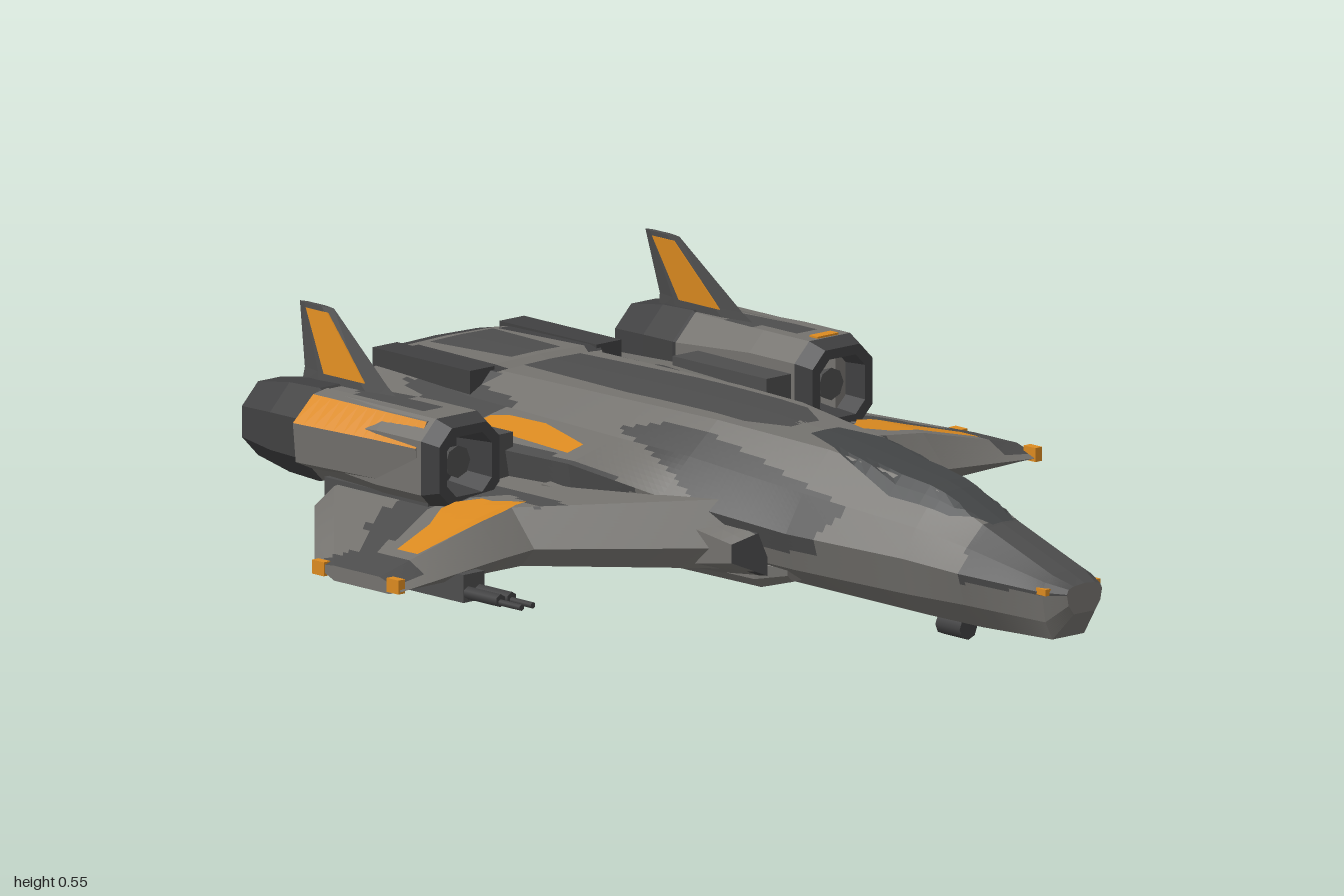
import * as THREE from 'three';

const mat = (name, color) => {
  const m = new THREE.MeshStandardMaterial({ color });
  m.name = name;
  return m;
};

export function createModel() {
  const light = mat('light grey', 0x74726e), dark = mat('dark grey', 0x4d4d4d);
  const metal = mat('engine metal', 0x404041), glass = mat('canopy glass', 0x434546);
  const orange = mat('orange', 0xdb8a20);
  const model = new THREE.Group();
  model.name = 'spacecraft';

  const V = (x, y, z) => new THREE.Vector3(x, y, z);

  // Turns triangles, grouped by material, into a flat-shaded mesh
  function meshFrom(name, tris, flip) {
    const mats = [...new Set(tris.map(t => t[3]))], pos = [];
    const geo = new THREE.BufferGeometry();
    mats.forEach((m, i) => {
      const start = pos.length / 3;
      for (const [a, b, c, k] of tris) {
        if (k === m) for (const p of flip ? [a, c, b] : [a, b, c]) pos.push(p.x, p.y, p.z);
      }
      geo.addGroup(start, pos.length / 3 - start, i);
    });
    geo.setAttribute('position', new THREE.Float32BufferAttribute(pos, 3));
    geo.computeVertexNormals();
    const mesh = new THREE.Mesh(geo, mats);
    mesh.name = name;
    model.add(mesh);
    return mesh;
  }

  // Skins closed rings of points; paint is a material or a rule on face centres
  function loft(name, rings, paint, step = 9, split = 1) {
    const pick = typeof paint === 'function' ? paint : () => paint;
    const fine = rings.map(r => r.flatMap((p, i) =>
      Array.from({ length: split }, (_, k) => p.clone().lerp(r[(i + 1) % r.length], k / split))));
    const rows = [fine[0]];
    for (let i = 1; i < fine.length; i++) {
      const n = Math.max(1, Math.ceil(fine[i][0].distanceTo(fine[i - 1][0]) / step));
      for (let k = 1; k <= n; k++) rows.push(fine[i].map((p, j) => fine[i - 1][j].clone().lerp(p, k / n)));
    }
    const tris = [], n = rows[0].length;
    for (let i = 1; i < rows.length; i++) for (let j = 0; j < n; j++) {
      const a = rows[i - 1][j], b = rows[i - 1][(j + 1) % n], c = rows[i][(j + 1) % n], d = rows[i][j];
      const m = pick(a.clone().add(b).add(c).add(d).multiplyScalar(0.25));
      tris.push([a, b, c, m], [a, c, d, m]);
    }
    [rows[0], rows.at(-1)].forEach((r, end) => {
      const c = r.reduce((s, p) => s.add(p), V(0, 0, 0)).divideScalar(n), m = pick(c);
      r.forEach((p, j) => {
        const q = r[(j + 1) % n];
        tris.push(end ? [c, p, q, m] : [c, q, p, m]);
      });
    });
    // A negative volume means the rings run the other way round
    const volume = tris.reduce((v, [a, b, c]) => v + a.dot(b.clone().cross(c)), 0);
    return meshFrom(name, tris, volume < 0);
  }

  // Lays a thin painted panel over a mesh; rows are [z, x0, x1] from front to back
  const ray = new THREE.Raycaster();
  function panel(name, target, rows, m, s = 1) {
    const grid = [], tris = [], cols = 10;
    for (let k = 0; k <= (rows.length - 1) * 4; k++) {
      const i = Math.min(Math.floor(k / 4), rows.length - 2);
      const [z, x0, x1] = rows[i].map((v, j) => THREE.MathUtils.lerp(v, rows[i + 1][j], k / 4 - i));
      grid.push(Array.from({ length: cols + 1 }, (_, c) => {
        const x = s * (x0 + (x1 - x0) * c / cols);
        ray.set(V(x, 2, z), V(0, -1, 0));
        const hit = ray.intersectObject(target)[0];
        return V(x, (hit ? hit.point.y : 0.2) + 0.004, z);
      }));
    }
    for (let i = 1; i < grid.length; i++) for (let c = 0; c < cols; c++) {
      const [a, b, d, e] = [grid[i - 1][c], grid[i - 1][c + 1], grid[i][c + 1], grid[i][c]];
      tris.push([a, b, d, m], [a, d, e, m]);
    }
    meshFrom(name, tris, s < 0);
  }

  // Camouflage: dark patches outlined in x (mirrored) and z, painted above a height
  const nosePatch = [[0, 1.1], [.2, 1.1], [.2, .78], [.09, .74], [0, .74]];
  const cheekPatch = [[.14, .42], [.25, .3], [.26, .1], [.2, -.22], [.15, -.1]];
  const shoulderPatch = [[.3, -.05], [.45, -.1], [.45, -.66], [.36, -.6], [.34, -.2]];
  const rearPatch = [[.2, -.53], [.3, -.55], [.33, -.64], [.23, -.85], [.17, -.75]];
  const wingPatch = [[.44, -.12], [.5, -.15], [.46, -.26], [.6, -.34], [.83, -.29], [.83, -.14],
    [.92, -.14], [.92, -.4], [.82, -.33], [.73, -.42], [.44, -.5]];
  const podPatch = [[.5, -.44], [.55, -.42], [.56, -.6], [.53, -.7], [.48, -.6]];
  const inside = (poly, x, z) => poly.reduce((odd, [ax, az], i) => {
    const [bx, bz] = poly[(i + 1) % poly.length];
    const crosses = (az > z) !== (bz > z) && x < ax + (bx - ax) * (z - az) / (bz - az);
    return crosses ? !odd : odd;
  }, false);
  const camo = (minY, ...patches) => c =>
    c.y > minY && patches.some(p => inside(p, Math.abs(c.x), c.z)) ? dark : light;

  // Cross-section from the corners of one half, listed from top to bottom
  const section = (z, ...half) => [
    V(0, half[0][1] + .003, z), ...half.map(([x, y]) => V(x, y, z)),
    V(0, half.at(-1)[1], z), ...half.reverse().map(([x, y]) => V(-x, y, z)),
  ];

  // Hull: top edge, shoulder, flank, lower flank, bottom edge
  const hull = loft('hull', [
    section(1, [.03, .18], [.045, .175], [.05, .165], [.045, .14], [.03, .12]),
    section(.95, [.045, .198], [.065, .185], [.075, .165], [.065, .1], [.045, .06]),
    section(.75, [.045, .265], [.09, .225], [.13, .18], [.11, .11], [.06, .055]),
    section(.6, [.05, .322], [.11, .25], [.15, .19], [.13, .11], [.08, .06]),
    section(.3, [.08, .362], [.155, .28], [.203, .2], [.18, .12], [.1, .068]),
    section(0, [.12, .381], [.2, .315], [.28, .24], [.26, .15], [.16, .09]),
    section(-.2, [.13, .382], [.22, .325], [.36, .29], [.34, .16], [.18, .09]),
    section(-.66, [.135, .378], [.22, .335], [.42, .3], [.39, .185], [.2, .115]),
    section(-.95, [.17, .368], [.2, .355], [.28, .33], [.26, .21], [.17, .15]),
  ], camo(.16, nosePatch, cheekPatch, shoulderPatch, rearPatch), .015, 9);

  panel('spinePanel', hull, [[.14, -.04, .04], [.05, -.09, .09], [-.3, -.1, .1], [-.64, -.08, .08]], dark);
  panel('canopy', hull, [[.75, -.03, .03], [.66, -.07, .07], [.5, -.095, .095],
    [.34, -.08, .08], [.2, -.04, .04]], glass);
  panel('canopyFrame', hull, [[.2, -.025, .025], [.12, -.025, .025]], light);

  // Belly block and rear engine block
  const slab = (z, w, top, bot, cut) => section(z, [w - cut, top], [w, top - cut], [w, bot + cut], [w - cut, bot]);
  loft('bellyBlock', [slab(.27, .17, .13, .085, .015), slab(.2, .2, .14, .066, .02),
    slab(-.25, .21, .15, .066, .02), slab(-.36, .17, .15, .09, .02)],
    c => c.z < .12 && c.z > -.2 && Math.abs(c.x) < .08 ? dark : light, .04, 4);
  const rearBlock = loft('rearEngineBlock', [slab(-.62, .16, .37, .12, .03), slab(-.68, .21, .385, .13, .04),
    slab(-.93, .195, .382, .15, .045), slab(-1, .17, .37, .17, .05)],
    c => c.y > .36 && Math.abs(c.x) < .13 && c.z > -.95 ? light : metal, .06, 4);
  panel('rearDeckPanel', rearBlock, [[-.69, -.07, .07], [-.92, -.09, .09]], dark);

  // Box between two corners, mirrored by s
  function box(name, s, [x0, x1], [y0, y1], [z0, z1], m) {
    const b = new THREE.Mesh(new THREE.BoxGeometry(x1 - x0, y1 - y0, z1 - z0), m);
    b.position.set(s * (x0 + x1) / 2, (y0 + y1) / 2, (z0 + z1) / 2);
    b.name = name;
    model.add(b);
  }
  // Cylinder lying along z
  function rod(name, x, y, z, r0, r1, len, m, sides = 8) {
    const c = new THREE.Mesh(new THREE.CylinderGeometry(r0, r1, len, sides), m);
    c.rotation.x = Math.PI / 2;
    c.position.set(x, y, z);
    c.name = name;
    model.add(c);
  }

  for (const s of [1, -1]) {
    const side = s > 0 ? 'left' : 'right';
    // Wing: [x, leading z, trailing z, top y]; the right one has a longer root
    const plan = s > 0
      ? [[.2, .05, -.6, .25], [.33, -.07, -.66, .245], [.62, -.1, -.7, .208], [.91, -.125, -.385, .137]]
      : [[.2, .22, -.6, .25], [.53, -.12, -.69, .225], [.62, -.12, -.7, .208], [.91, -.115, -.385, .137]];
    const wing = loft(side + 'Wing', plan.map(([x, le, te, top]) => {
      const bot = .105, mid = bot + (top - bot) * .35;
      return [[mid, le], [top, le - .07], [top, te + .06], [mid + .015, te], [bot, te + .06], [bot, le - .04]]
        .map(([y, z]) => V(s * x, y, z));
    }), camo(.125, wingPatch), .015, 14);
    panel(side + 'WingMarking', wing, [[-.187, s > 0 ? .545 : .49, .8], [-.25, s > 0 ? .47 : .53, .8],
      [-.28, .53, .68], [-.32, .57, .61]], orange, s);
    panel(side + 'ShoulderMarking', hull, [[-.235, .285, .33], [-.39, .248, .33], [-.49, .255, .32],
      [-.53, .275, .315]], orange, s);
    for (const z of [-.14, -.37]) box(side + 'TipLight', s, [.895, .914], [.11, .14], [z - .018, z + .018], orange);

    // Intake along the hull side, ending in a slanted lip
    const duct = (z, x0, x1, y0, y1) =>
      [V(s * x0, y0, z), V(s * x1, y0 + .03, z - .04), V(s * x1, y1 - .03, z - .04), V(s * x0, y1, z)];
    loft(side + 'Intake', [duct(.24, .2, .265, .1, .2), duct(.1, .19, .29, .08, .23), duct(-.22, .2, .38, .08, .27)],
      c => c.z > .21 ? metal : light, .03, 3);

    // Engine pod: chamfered square, rounder at the back, hollow at both ends, as [z, half width]
    const pod = [[-.87, .055], [-.9, .069], [-.935, .079], [-.83, .096], [-.735, .1], [-.73, .096],
      [-.5, .1], [-.36, .1], [-.32, .085], [-.32, .064], [-.42, .056]];
    loft(side + 'EnginePod', pod.map(([z, r]) => {
      const k = r * (z < -.72 ? .42 : .58);
      return [[r, -k], [r, k], [k, r], [-k, r], [-r, k], [-r, -k], [-k, -r], [k, -r]]
        .map(([x, y]) => V(s * .53 + x, .295 + y, z));
    }), c => {
      const r = Math.max(Math.abs(c.x - s * .53), Math.abs(c.y - .295));
      return c.z < -.73 || c.z > -.36 || r < .066 ? metal : camo(.36, podPatch)(c);
    }, .02, 4);
    rod(side + 'IntakeSpinner', s * .53, .295, -.39, .035, .012, .07, dark);
    rod(side + 'Nozzle', s * .53, .295, -.885, .035, .025, .05, light);
    box(side + 'PodPylon', s, [.36, .45], [.22, .33], [-.66, -.37], dark);
    box(side + 'PodFoot', s, [.45, .61], [.15, .22], [-.68, -.36], dark);

    // Flank fairing outside the pod; the right one is wider and painted on its slope
    const flank = (z, w) => [[.56, .395], [.6, .388], [w, .335], [w - .008, .25], [.56, .21]]
      .map(([x, y]) => V(s * x, y, z));
    loft(side + 'PodFairing', [flank(-.375, .632), flank(-.5, .638), flank(-.725, s > 0 ? .64 : .658)],
      c => s < 0 && c.y > .34 && c.y < .39 && c.z > -.72 && c.z < -.38 ? orange : light, .03);

    // Tail fin leaning inward, with painted plates barely proud of both faces
    const finX = y => s * (.505 - (y - .4) * .1);
    const fin = (z0, z1, y, h) => {
      const x = finX(y), front = z0 - (z0 - z1) * .3, back = z1 + (z0 - z1) * .2;
      return [V(x, y, z0), V(x + h, y, front), V(x + h, y, back),
        V(x, y, z1), V(x - h, y, back), V(x - h, y, front)];
    };
    const plate = (z0, z1, y, h) => [[h, z0], [h, z1], [-h, z1], [-h, z0]].map(([x, z]) => V(finX(y) + x, y, z));
    loft(side + 'Fin', [fin(-.54, -.86, .375, .011), fin(-.6, -.855, .41, .01), fin(-.78, -.885, .545, .006)], dark);
    loft(side + 'FinMarking', [plate(-.66, -.785, .408, .0112), plate(-.792, -.858, .535, .0074)], orange);

    // Twin gun under the wing
    const gx = s > 0 ? .56 : .72, gy = s > 0 ? .1 : .09;
    box(side + 'GunMount', s, [gx - .03, gx + .03], [gy - .02, gy + .04], [-.3, -.1], dark);
    for (const d of [-.016, .016]) {
      rod(side + 'GunHousing', s * (gx + d), gy, -.06, .014, .014, .12, metal, 6);
      rod(side + 'GunBarrel', s * (gx + d), gy - .004, .02, .007, .007, .09, metal, 6);
    }

    // Deck rail beside the rear block
    box(side + 'RearRail', s, [.145, .215], [.3, .388], [-.96, -.66], metal);
    box('noseLight', s, [.05, .078], [.16, .174], [.935, .965], orange);
  }

  // Small mark on the left pod
  box('leftPodMarking', 1, [.5, .56], [.39, .399], [-.39, -.365], orange);

  // Chin turret
  box('turretNeck', 1, [-.018, .018], [.025, .07], [.585, .625], dark);
  rod('turretHead', 0, .025, .605, .025, .025, .075, metal);

  return model;
}
